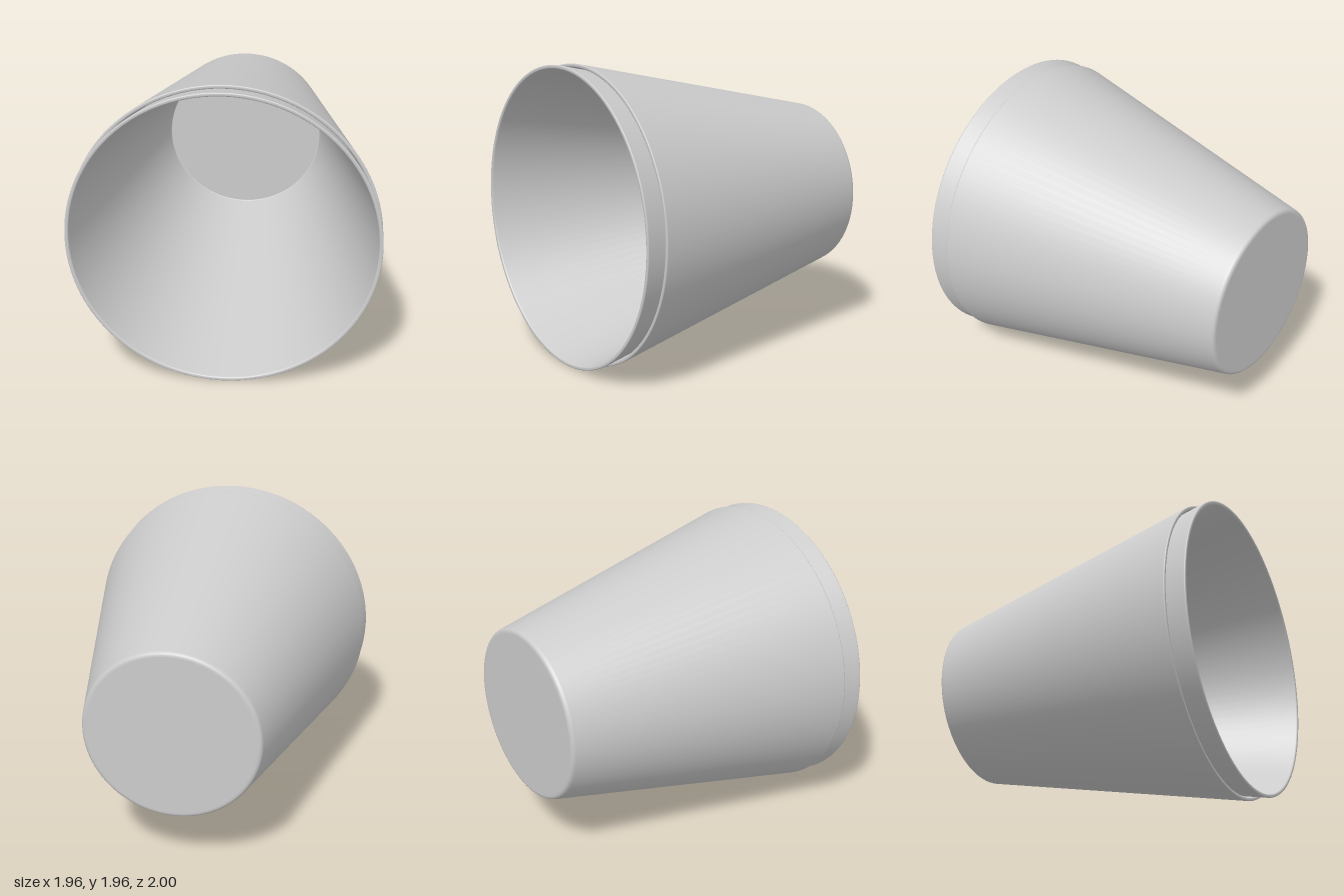
import * as THREE from 'three';

const R = 0.98;        // rim radius
const LENGTH = 1.865;  // cup depth
const SLOPE = 0.221;   // wall taper
const WALL = 0.025;
const SEGMENTS = 96;

// Round every corner of a polyline by its own radius (z component)
function roundedProfile(corners) {
  const points = [];
  corners.forEach(([x, y, r], i) => {
    const c = new THREE.Vector2(x, y);
    if (!r) { points.push(c); return; }
    const toward = (p) => new THREE.Vector2(p[0], p[1]).sub(c).normalize();
    const a = toward(corners[i - 1]), b = toward(corners[i + 1]);
    const start = c.clone().addScaledVector(a, r), end = c.clone().addScaledVector(b, r);
    points.push(start.clone().addScaledVector(a, 0.001)); // keeps the long walls evenly shaded
    points.push(...new THREE.QuadraticBezierCurve(start, c, end).getPoints(5));
    points.push(end.clone().addScaledVector(b, 0.001));
  });
  return points;
}

// Closed-bottomed tapered cup, opening toward +z
function cup(name, rimZ) {
  const outer = (y) => R + 0.003 - SLOPE * (LENGTH - y);
  const profile = roundedProfile([
    [0, 0, 0],
    [outer(0), 0, 0.025],
    [outer(LENGTH), LENGTH, 0.01],
    [outer(LENGTH) - WALL, LENGTH, 0.01],
    [outer(0.02) - WALL, 0.02, 0.006],
    [0, 0.02, 0],
  ]);
  const geometry = new THREE.LatheGeometry(profile, SEGMENTS);
  geometry.rotateX(Math.PI / 2);
  const mesh = new THREE.Mesh(geometry, new THREE.MeshStandardMaterial({ color: 0xcccccc }));
  mesh.name = name;
  mesh.position.set(0, R, rimZ - LENGTH);
  return mesh;
}

export function createModel() {
  const group = new THREE.Group();
  group.name = 'stackedCups';
  // Two identical cups, one nested in the other
  group.add(cup('outerCup', 0.865), cup('innerCup', 1));
  return group;
}
